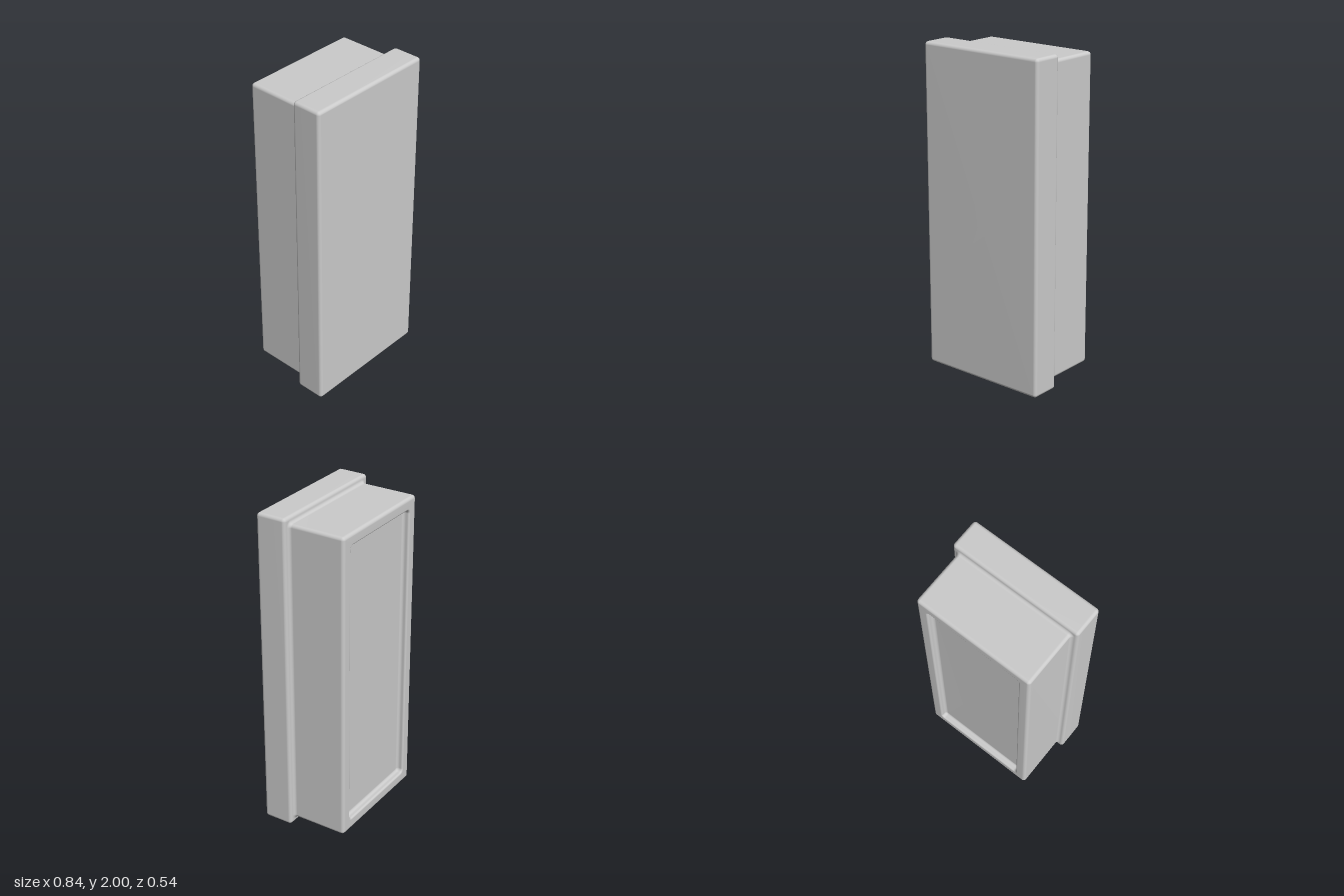
import * as THREE from 'three';

const HALF_W = 0.418, HALF_H = 1, CORNER_STEPS = 5, ARC_STEPS = 6;

// Rounded-rectangle outline, counter-clockwise seen from the front
function ring({ inset, z, r }) {
  const points = [];
  const cx = HALF_W - inset - r, cy = HALF_H - inset - r;
  [[1, 1], [-1, 1], [-1, -1], [1, -1]].forEach(([sx, sy], q) => {
    for (let i = 0; i <= CORNER_STEPS; i++) {
      const a = (q + i / CORNER_STEPS) * Math.PI / 2;
      points.push([sx * cx + r * Math.cos(a), HALF_H + sy * cy + r * Math.sin(a), z]);
    }
  });
  return points;
}

// Fillet in the (inset, z) profile; cornerInset is where the outline's corner arcs are centred
function fillet(inset, z, radius, fromDeg, toDeg, cornerInset) {
  return Array.from({ length: ARC_STEPS + 1 }, (_, i) => {
    const a = THREE.MathUtils.degToRad(fromDeg + (toDeg - fromDeg) * i / ARC_STEPS);
    const t = inset + radius * Math.cos(a);
    return { inset: t, z: z + radius * Math.sin(a), r: Math.max(cornerInset - t, 0.002) };
  });
}

// Joins the outlines from front to back and caps both ends
function loft(profile) {
  const rings = profile.map(ring);
  const n = rings[0].length, last = (rings.length - 1) * n;
  const positions = rings.flat(2), index = [];
  for (let i = 0; i < rings.length - 1; i++) {
    for (let j = 0; j < n; j++) {
      const a = i * n + j, b = i * n + (j + 1) % n;
      index.push(a, a + n, b, b, a + n, b + n);
    }
  }
  const front = rings.length * n, back = front + 1;
  positions.push(0, HALF_H, profile[0].z, 0, HALF_H, profile[profile.length - 1].z);
  for (let j = 0; j < n; j++) {
    const k = (j + 1) % n;
    index.push(front, j, k, back, last + k, last + j);
  }
  const geometry = new THREE.BufferGeometry();
  geometry.setAttribute('position', new THREE.Float32BufferAttribute(positions, 3));
  geometry.setIndex(index);
  geometry.computeVertexNormals();
  return geometry;
}

export function createModel() {
  const group = new THREE.Group();
  group.name = 'panelBlock';

  const profile = [
    ...fillet(0.02, 0.252, 0.02, 90, 180, 0.02),    // front plate, front edge
    ...fillet(0.02, 0.102, 0.02, 180, 270, 0.02),   // front plate, rear edge
    ...fillet(0.02, 0.062, 0.02, 90, 0, 0.06),      // cove between plate and body
    ...fillet(0.06, -0.252, 0.02, 180, 270, 0.06),  // body, rear edge
    ...fillet(0.10, -0.26, 0.012, 270, 360, 0.135), // rim of the rear recess
    ...fillet(0.13, -0.25, 0.018, 180, 90, 0.135),  // cove around the recess floor
  ];

  const body = new THREE.Mesh(loft(profile), new THREE.MeshStandardMaterial({ color: 0xcccccc }));
  body.name = 'body';
  group.add(body);
  return group;
}
